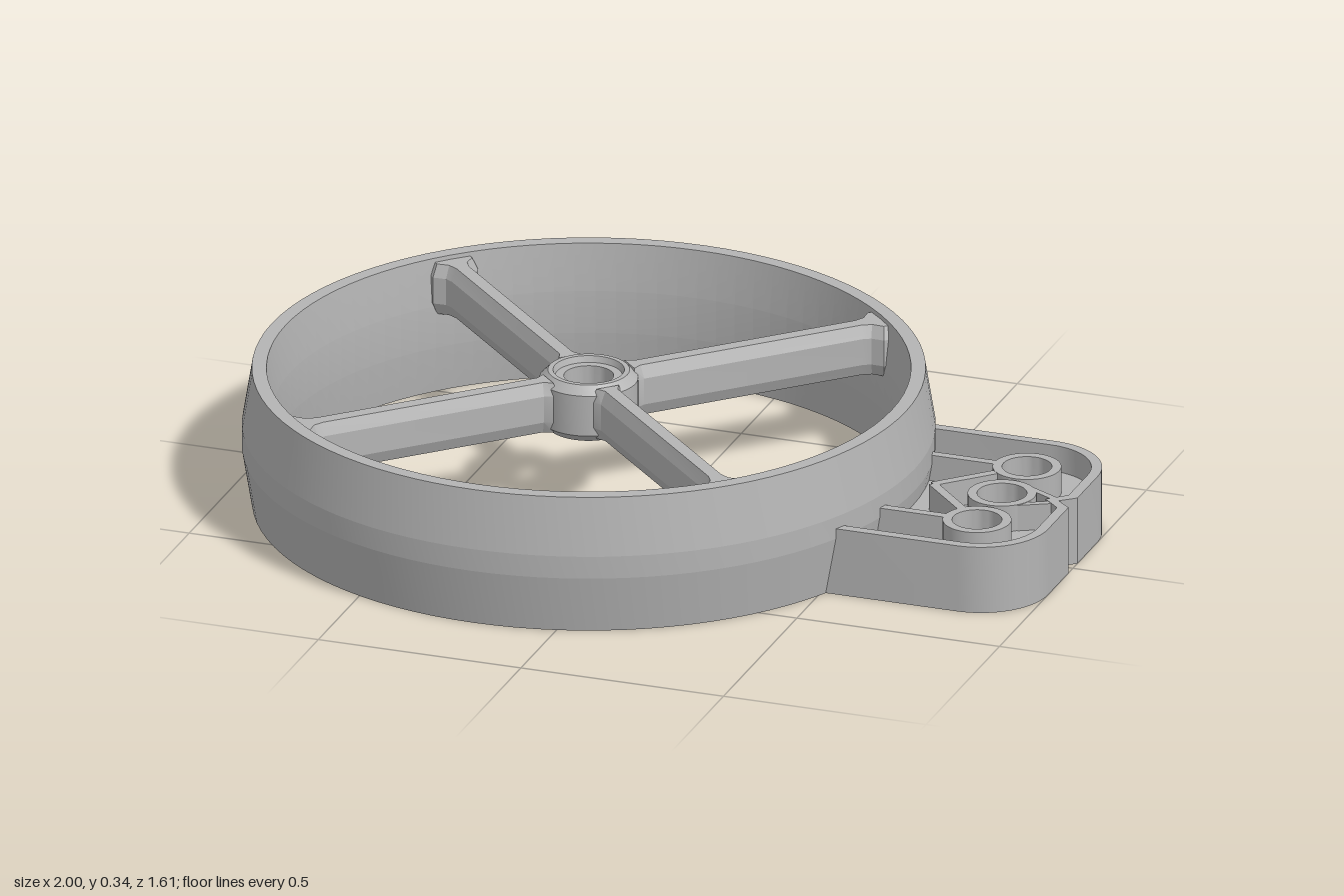
import * as THREE from 'three';
import { toCreasedNormals } from 'three/addons/utils/BufferGeometryUtils.js';

const CX = -0.195; // wheel centre

export function createModel() {
  const model = new THREE.Group();
  model.name = 'wheelWithBracket';
  const grey = new THREE.MeshStandardMaterial({ color: 0xb4b4b4 });
  grey.name = 'grey plastic';

  const add = (parent, name, geometry, crease = 0.35) => {
    const mesh = new THREE.Mesh(toCreasedNormals(geometry, crease), grey);
    mesh.name = name;
    parent.add(mesh);
    return mesh;
  };
  // closed profile of [radius, y], outer side going up, then inner side going down
  const turned = (profile, segments) =>
    new THREE.LatheGeometry([...profile, profile[0]].map(p => new THREE.Vector2(...p)), segments);
  // plan shape raised from y0 to y1
  const raised = (shape, y0, y1, options = {}) =>
    new THREE.ExtrudeGeometry(shape, { depth: y1 - y0, bevelEnabled: false, curveSegments: 24, ...options })
      .rotateX(-Math.PI / 2).translate(0, y0, 0);
  const polygon = points => new THREE.Shape(points.map(p => new THREE.Vector2(...p)));

  // Wheel: faceted rim, hub and four spokes
  const wheel = new THREE.Group();
  wheel.name = 'wheel';
  wheel.position.x = CX;
  model.add(wheel);

  add(wheel, 'rim', turned([
    [0.782, 0], [0.805, 0.14], [0.805, 0.195], [0.782, 0.335],
    [0.748, 0.335], [0.735, 0.22], [0.735, 0.115], [0.748, 0],
  ], 96), 0.12);

  add(wheel, 'hub', turned([
    [0.095, 0.19], [0.115, 0.21], [0.115, 0.31], [0.095, 0.33],
    [0.083, 0.33], [0.078, 0.315], [0.058, 0.315],
    [0.058, 0.205], [0.078, 0.205], [0.083, 0.19],
  ], 48));

  // spoke plan flares where it meets the rim; the bevel gives its chamfered edges
  const spokePlan = polygon([
    [0.104, -0.028], [0.125, -0.016], [0.69, -0.016], [0.715, -0.023], [0.735, -0.045], [0.755, -0.045],
    [0.755, 0.045], [0.735, 0.045], [0.715, 0.023], [0.69, 0.016], [0.125, 0.016], [0.104, 0.028],
  ]);
  for (let i = 0; i < 4; i++) {
    const spoke = add(wheel, 'spoke', raised(spokePlan, 0.23, 0.295, {
      bevelEnabled: true, bevelSize: 0.013, bevelThickness: 0.03, bevelSegments: 1,
    }));
    spoke.rotation.y = Math.PI / 4 + i * Math.PI / 2;
  }

  // Bracket: rounded outer wall with a V notch, web, bosses and ribs
  const bracket = new THREE.Group();
  bracket.name = 'bracket';
  model.add(bracket);
  const H = 0.165, WALL = 0.025, HOLES = [-0.17, 0, 0.17], HX = 0.825, HR = 0.058;
  const rimX = z => CX + Math.sqrt(0.768 ** 2 - z * z);

  // points from the rim round to the other side, inset by d
  const outline = d => {
    const half = 0.335 - d, right = 1 - d, r = 0.165 - d, points = [[rimX(half), -half]];
    for (let i = 0; i <= 16; i++) {
      const a = (i / 16) * Math.PI / 2;
      points.push([right - r + r * Math.sin(a), -half + r - r * Math.cos(a)]);
    }
    points.push([right, -0.03 - d * 0.4], [0.965 - d * 1.3, 0]);
    const mirrored = points.slice(0, -1).reverse().map(([x, z]) => [x, -z]);
    return [...points, ...mirrored];
  };
  add(bracket, 'bracketWall', raised(polygon([...outline(0), ...outline(WALL).reverse()]), 0, H));

  const rimArc = [];
  for (let i = 1; i < 16; i++) {
    const z = 0.325 * (1 - i / 8);
    rimArc.push([rimX(z), z]);
  }
  const web = polygon([...outline(0.01), ...rimArc]);
  for (const z of HOLES) web.holes.push(new THREE.Path().absarc(HX, z, HR, 0, Math.PI * 2, true));
  add(bracket, 'bracketWeb', raised(web, 0.065, 0.1));

  for (const z of HOLES) {
    const boss = add(bracket, 'boss', turned([[0.08, 0], [0.08, H], [HR, H], [HR, 0]], 48));
    boss.position.set(HX, 0, z);
  }

  const rib = (x0, z0, x1, z1, width = 0.022) => {
    const length = Math.hypot(x1 - x0, z1 - z0);
    const mesh = add(bracket, 'rib', new THREE.BoxGeometry(length, H - 0.002, width));
    mesh.position.set((x0 + x1) / 2, H / 2, (z0 + z1) / 2);
    mesh.rotation.y = -Math.atan2(z1 - z0, x1 - x0);
  };
  for (const s of [-1, 1]) {
    rib(rimX(0.17), s * 0.17, 0.755, s * 0.17); // straight rib to outer boss
    rib(0.655, 0, 0.77, s * 0.118);             // V rib behind the middle boss
    rib(0.88, s * 0.05, 0.955, s * 0.01, 0.016); // short rib to the notch
  }
  return model;
}
